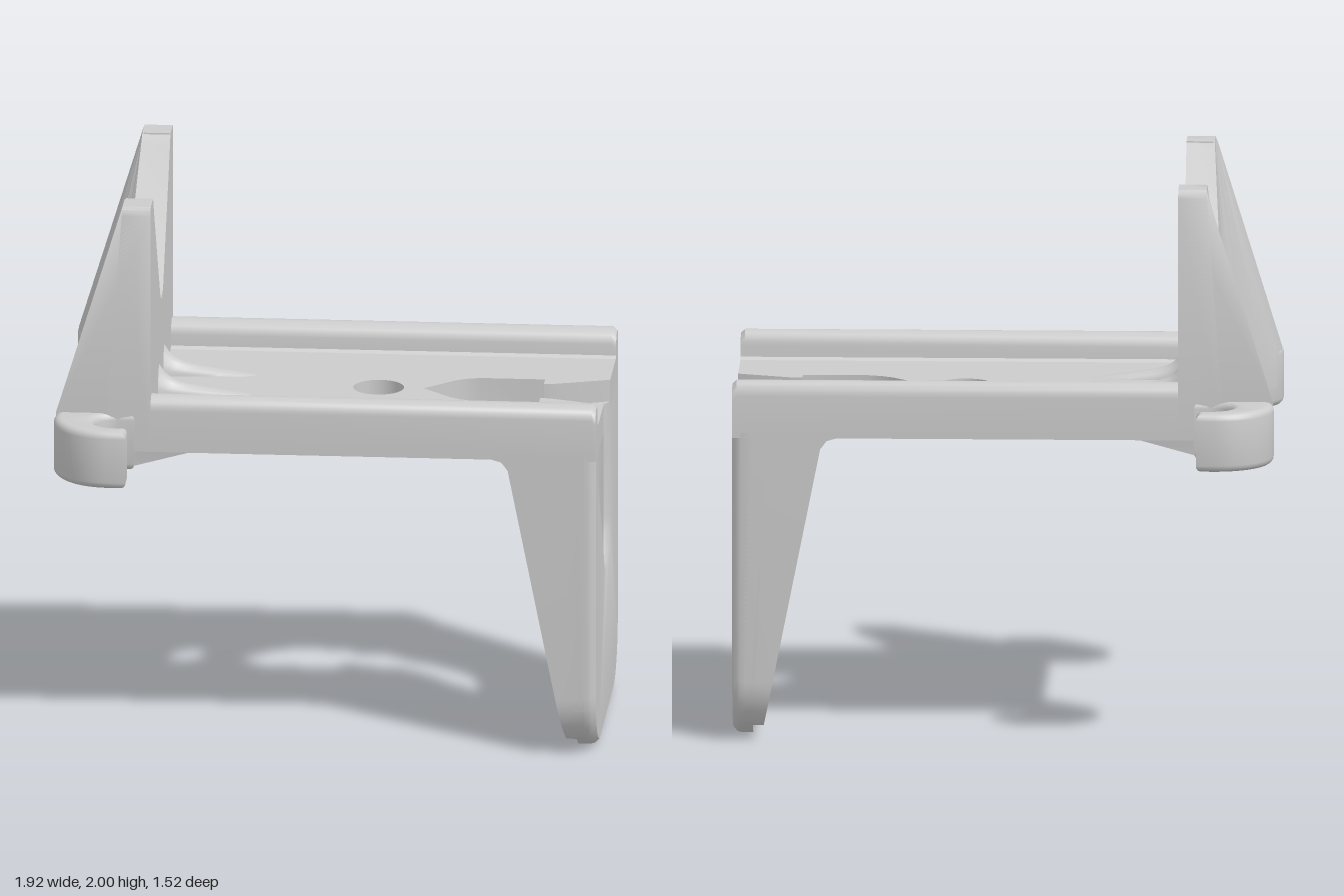
import * as THREE from 'three';
import { toCreasedNormals } from 'three/addons/utils/BufferGeometryUtils.js';

const material = new THREE.MeshStandardMaterial({ color: 0xcccccc });
const V = (x, y, z) => new THREE.Vector3(x, y, z);
const lerp = THREE.MathUtils.lerp;

// Closed solid through rings with equal point counts, capped and facing outward
function loft(rings) {
  const tris = [], n = rings[0].length;
  for (let r = 0; r < rings.length - 1; r++) {
    const a = rings[r], b = rings[r + 1];
    for (let i = 0; i < n; i++) {
      const j = (i + 1) % n;
      tris.push([a[i], a[j], b[j]], [a[i], b[j], b[i]]);
    }
  }
  const cap = (ring, reverse) => {
    const normal = V(0, 0, 0);
    ring.forEach((p, i) => normal.add(p.clone().cross(ring[(i + 1) % n])));
    const s = normal.toArray().map(Math.abs), k = s.indexOf(Math.max(...s));
    const flat = ring.map(p => {
      const c = p.toArray();
      return new THREE.Vector2(c[(k + 1) % 3], c[(k + 2) % 3]);
    });
    const sign = Math.sign(THREE.ShapeUtils.area(flat));
    for (const [a, b, c] of THREE.ShapeUtils.triangulateShape(flat.slice(), [])) {
      const same = sign * THREE.ShapeUtils.area([flat[a], flat[b], flat[c]]) > 0;
      tris.push(same !== reverse ? [ring[a], ring[b], ring[c]] : [ring[a], ring[c], ring[b]]);
    }
  };
  cap(rings[0], true);
  cap(rings[rings.length - 1], false);
  let volume = 0;
  for (const [a, b, c] of tris) volume += a.dot(b.clone().cross(c));
  if (volume < 0) tris.forEach(t => t.reverse());
  return new THREE.BufferGeometry().setFromPoints(tris.flat());
}

// [z, y] half outline completed by its mirror image across z = 0
const mirrored = half => [...half, ...half.slice().reverse().map(([z, y]) => [-z, y])];

// Height of the leg's rounded lower corner at a given z
const CORNER = 0.22, HALF = 0.52;
const cornerY = z => {
  const d = Math.max(0, Math.abs(z) - (HALF - CORNER));
  return CORNER - Math.sqrt(Math.max(0, CORNER * CORNER - d * d));
};

// Deck with round hole and pointed slot open at the leg end
function deckGeometry() {
  const s = new THREE.Shape();
  const side = [[0.96, 0.155], [0.92, 0.14], [0.77, 0.09], [0.73, 0.085], [0.73, 0.14],
    [0.5, 0.14], [0.45, 0.125], [0.41, 0.1]];
  s.moveTo(-0.66, -0.5);
  s.lineTo(0.96, -0.5);
  side.forEach(([x, z]) => s.lineTo(x, -z));
  s.lineTo(0.31, 0);
  side.reverse().forEach(([x, z]) => s.lineTo(x, z));
  s.lineTo(0.96, 0.5);
  s.lineTo(-0.66, 0.5);
  const hole = new THREE.Path();
  hole.absarc(0.15, 0, 0.09, 0, Math.PI * 2, true);
  s.holes.push(hole);
  return new THREE.ExtrudeGeometry(s, { depth: 0.1, bevelEnabled: false, curveSegments: 24 })
    .rotateX(-Math.PI / 2).translate(0, 1.1, 0);
}

// Leg outline: rounded lower corners and a keyhole running in from the top
function legRing(x, low, high, bottom, inset, taper) {
  const half = [];
  for (let i = 0; i <= 8; i++) {
    const a = (i / 8) * Math.PI / 2, r = CORNER - inset;
    half.push([HALF - CORNER + r * Math.sin(a), CORNER - r * Math.cos(a)]);
  }
  half.push([HALF - inset, 1.12], [high, 1.12], [high, 0.98], [lerp(high, low, 0.4), 0.93], [low, 0.88]);
  for (let i = 0; i <= 9; i++) {
    const a = (i / 9.5) * Math.PI / 2;
    half.push([low * Math.cos(a), bottom + low - low * Math.sin(a)]);
  }
  return mirrored(half).map(([z, y]) => V(x - taper * y, y, z));
}

// V-notched upright web
function fenceGeometry() {
  const outline = mirrored([[0.52, 1.1], [0.52, 1.97], [0.51, 1.99], [0.49, 2], [0.41, 2],
    [0.39, 1.99], [0.375, 1.965], [0.065, 1.54], [0.04, 1.523], [0.01, 1.515]]);
  return loft([
    outline.map(([z, y]) => V(-0.62, y, z)),
    outline.map(([z, y]) => V(lerp(-0.785, -0.72, (y - 1.1) / 0.9), y, z)),
  ]);
}

// Buttress at the end of the web, blending out toward the hook
function buttressGeometry(s) {
  const base = [[-0.62, 0.52], [-0.62, 0.34], [-0.78, 0.34], [-0.8, 0.375], [-0.84, 0.395],
    [-0.89, 0.415], [-0.93, 0.45], [-0.955, 0.52]];
  const top = [[-0.62, 0.5], [-0.62, 0.4], [-0.715, 0.4], [-0.716, 0.42], [-0.717, 0.44],
    [-0.718, 0.46], [-0.719, 0.48], [-0.72, 0.5]];
  const levels = [[1.1, 0, 0.52], [1.24, 0, 0.52], [1.97, 0.96, 0.52], [2, 1, 0.5]];
  return loft(levels.map(([y, t, edge]) => base.map(([x, z], i) => {
    const outer = i === 0 || i === 7;
    return V(lerp(x, top[i][0], t), y, s * (outer ? edge : lerp(z, top[i][1], t)));
  })));
}

// Open C-shaped hook with rounded rims
function hookGeometry(s) {
  const b = 0.025, shape = new THREE.Shape();
  shape.moveTo(-0.69 - b, -s * (0.76 - b));
  const arc = (cx, cz, r, from, to) => {
    for (let i = 0; i <= 14; i++) {
      const a = lerp(from, to, i / 14);
      shape.lineTo(cx + r * Math.cos(a), -s * (cz + r * Math.sin(a)));
    }
  };
  arc(-0.755, 0.555, 0.205 - b, Math.PI / 2, Math.PI * 1.08);
  [[-0.9, 0.46], [-0.84, 0.425], [-0.7, 0.425], [-0.7, 0.525 - b]].forEach(([x, z]) => shape.lineTo(x, -s * z));
  arc(-0.735, 0.6, 0.08 + b, Math.PI * 1.5, Math.PI / 2);
  shape.lineTo(-0.69 - b, -s * (0.68 + b));
  return new THREE.ExtrudeGeometry(shape, { depth: 0.21 - 2 * b, bevelThickness: b, bevelSize: b, bevelSegments: 4 })
    .rotateX(-Math.PI / 2).translate(0, 1.03 + b, 0);
}

// Round-topped rail along the deck edge, eased at the leg end
function railGeometry(s) {
  const ring = (x, top) => {
    const pts = [V(x, 1.1, s * 0.52), V(x, 1.1, s * 0.405), V(x, 1.2, s * 0.405), V(x, 1.21, s * 0.417)];
    for (let i = 0; i <= 10; i++) {
      const a = Math.PI * (1 - i / 10);
      pts.push(V(x, top - 0.05 + 0.05 * Math.sin(a), s * (0.47 + 0.05 * Math.cos(a))));
    }
    return pts;
  };
  return loft([ring(-0.64, 1.3), ring(0.945, 1.3), ring(0.96, 1.285)]);
}

// Tapered side flange behind the leg, following its rounded corner
function flangeGeometry(s) {
  const rings = [];
  for (let i = 0; i <= 8; i++) {
    const z = 0.42 + 0.1 * Math.sin((i / 8) * Math.PI / 2);
    const y = Math.max(0.045, cornerY(z));
    rings.push([[0.92, 1.12], [0.59, 1.12], [0.59, 1.1], [0.625, 1.09], [0.648, 1.06], [0.66, 1.0],
      [0.66 + (1 - y) * 0.2, y], [0.92, y]].map(([px, py]) => V(px, py, s * z)));
  }
  return loft(rings);
}

// Small concave rib bracing the web against the deck
function ribGeometry(s) {
  const rings = [];
  for (let i = 0; i <= 12; i++) {
    const t = i / 12, h = 0.004 + 0.05 * (1 - t) + 0.07 * (1 - t) ** 10;
    const w = 0.04 * Math.sqrt(1 - 0.95 * t ** 4) + 0.02 * (1 - t) ** 10, ring = [];
    for (let k = 0; k <= 10; k++) {
      const a = Math.PI * k / 10;
      ring.push(V(-0.63 + 0.35 * t, 1.195 + h * Math.sin(a), s * 0.12 + w * Math.cos(a)));
    }
    rings.push(ring);
  }
  return loft(rings);
}

// Sloping gusset beneath the hook root
function gussetGeometry(s) {
  const ring = (x, y, inner) => [V(x, 1.12, s * inner), V(x, 1.12, s * 0.52),
    V(x, y, s * 0.515), V(x, y, s * (inner + 0.04))];
  return loft([ring(-0.9, 1.04, 0.43), ring(-0.7, 1.04, 0.39), ring(-0.48, 1.1, 0.45)]);
}

export function createModel() {
  const model = new THREE.Group();
  const add = (name, geometry) => {
    const mesh = new THREE.Mesh(toCreasedNormals(geometry, 0.6), material);
    mesh.name = name;
    model.add(mesh);
  };

  add('deck', deckGeometry());
  add('leg', loft([
    legRing(0.89, 0.105, 0.08, 0.6, 0, 0.05),
    legRing(0.91, 0.105, 0.08, 0.6, 0, 0.02),
    legRing(0.93, 0.115, 0.1, 0.59, 0, 0),
    legRing(0.945, 0.13, 0.125, 0.575, 0.004, 0),
    legRing(0.96, 0.155, 0.155, 0.55, 0.02, 0),
  ]));
  add('notchedFence', fenceGeometry());

  for (const [side, s] of [['Front', 1], ['Back', -1]]) {
    add('rail' + side, railGeometry(s));
    add('legFlange' + side, flangeGeometry(s));
    add('buttress' + side, buttressGeometry(s));
    add('hook' + side, hookGeometry(s));
    add('hookGusset' + side, gussetGeometry(s));
    add('deckRib' + side, ribGeometry(s));
  }
  return model;
}
